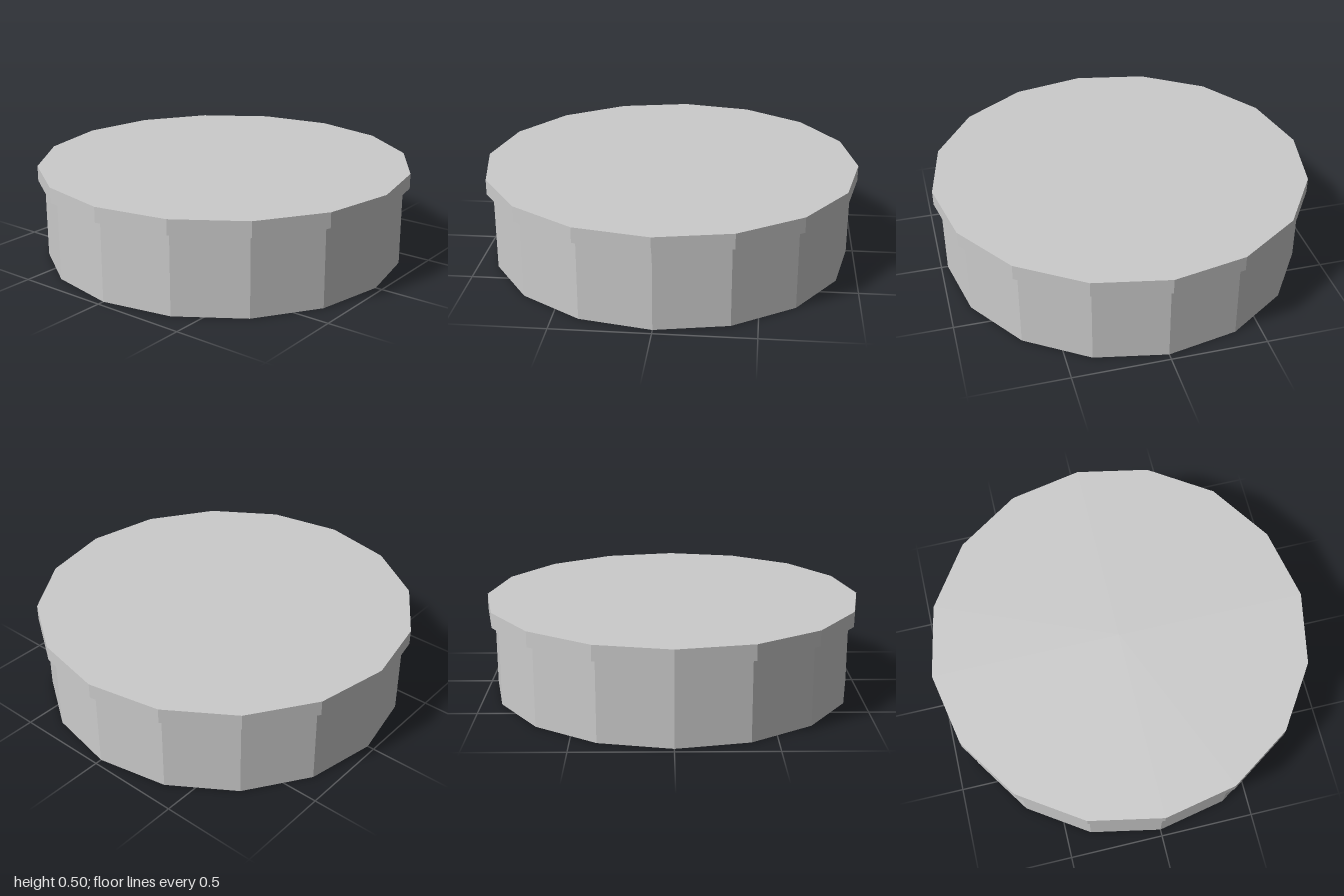
import * as THREE from 'three';

const SIDES = 16;

export function createModel() {
  const model = new THREE.Group();

  // Faceted drum, reaching up inside the lid
  const bodyHeight = 0.49;
  const body = new THREE.Mesh(
    new THREE.CylinderGeometry(0.965, 0.965, bodyHeight, SIDES),
    new THREE.MeshStandardMaterial({ color: 0xcccccc, flatShading: true })
  );
  body.name = 'body';
  body.position.y = bodyHeight / 2;
  model.add(body);

  // Thin lid: a rim and a flat top, open underneath
  const lidProfile = [[1, 0.42], [1, 0.5], [0, 0.5]].map(([r, y]) => new THREE.Vector2(r, y));
  const lid = new THREE.Mesh(
    new THREE.LatheGeometry(lidProfile, SIDES),
    new THREE.MeshStandardMaterial({ color: 0xcccccc, flatShading: true, side: THREE.DoubleSide })
  );
  lid.name = 'lid';
  model.add(lid);

  return model;
}
